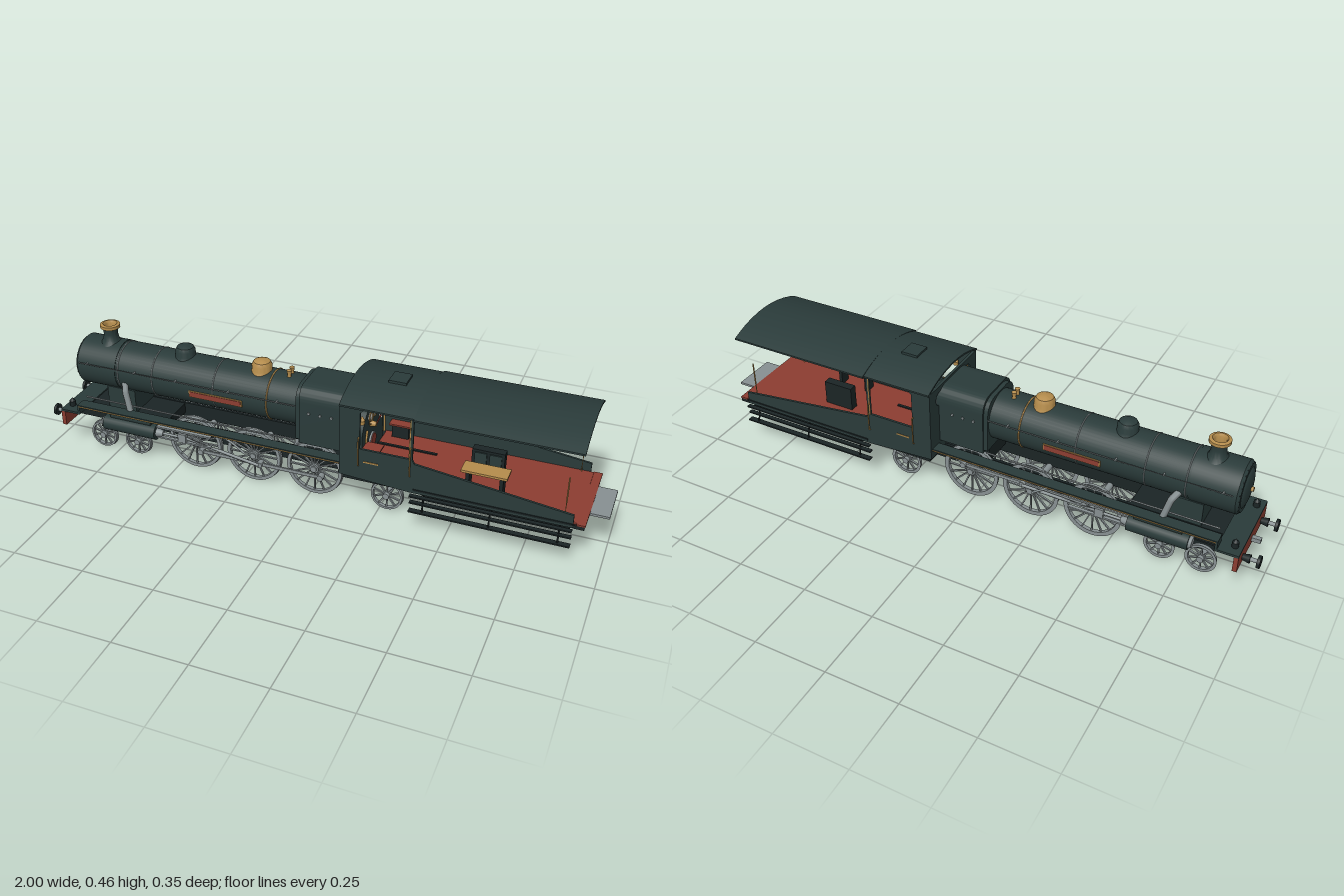
import * as THREE from 'three';
import { mergeGeometries, toCreasedNormals } from 'three/addons/utils/BufferGeometryUtils.js';

const mat = (name, color) => {
  const m = new THREE.MeshStandardMaterial({ color, side: THREE.DoubleSide });
  m.name = name;
  return m;
};

export function createModel() {
  const green = mat('darkGreen', 0x2a3b3a), black = mat('black', 0x1b2425), steel = mat('steel', 0x879092);
  const gold = mat('brass', 0xb48c4c), red = mat('red', 0x8c3d31), white = mat('white', 0xe4e4dc);
  const root = new THREE.Group();
  root.name = 'locomotive';

  // ---- helpers ----
  const add = (name, geo, m) => {
    const mesh = new THREE.Mesh(geo, m);
    mesh.name = name;
    root.add(mesh);
    return mesh;
  };
  const boxGeo = (x0, x1, y0, y1, z0, z1) =>
    new THREE.BoxGeometry(x1 - x0, y1 - y0, Math.abs(z1 - z0)).translate((x0 + x1) / 2, (y0 + y1) / 2, (z0 + z1) / 2);
  const box = (name, m, ...b) => add(name, boxGeo(...b), m);
  const cylX = (r0, r1, x0, x1, y, z, n = 24) =>
    new THREE.CylinderGeometry(r1, r0, x1 - x0, n).rotateZ(-Math.PI / 2).translate((x0 + x1) / 2, y, z);
  const cylZ = (r, x, y, z0, z1, n = 20) =>
    new THREE.CylinderGeometry(r, r, Math.abs(z1 - z0), n).rotateX(Math.PI / 2).translate(x, y, (z0 + z1) / 2);
  const tube = (name, m, r, pts, seg = 12) => add(name, new THREE.TubeGeometry(
    new THREE.CatmullRomCurve3(pts.map(p => new THREE.Vector3(...p)), false, 'catmullrom', 0.1), seg, r, 6), m);
  const lathe = (name, m, x, z, pts) => add(name, toCreasedNormals(new THREE.LatheGeometry(
    pts.map(p => new THREE.Vector2(...p)), 28).translate(x, 0, z), 0.6), m);
  const poly = pts => new THREE.Shape(pts.map(p => new THREE.Vector2(...p)));
  // extrude a (z, y) outline along x
  const extrudeX = (shape, x0, x1) => toCreasedNormals(new THREE.ExtrudeGeometry(shape,
    { depth: x1 - x0, bevelEnabled: false, curveSegments: 20 }).rotateY(Math.PI / 2).translate(x0, 0, 0), 0.6);
  const ringX = (name, m, R, r, x, y, z) =>
    add(name, new THREE.TorusGeometry(R, r, 6, 36).rotateY(Math.PI / 2).translate(x, y, z), m);
  const both = fn => [1, -1].forEach(fn);

  // ---- boiler and smokebox ----
  const by = 0.31, br = 0.087;
  add('boiler', cylX(br, br, -0.74, 0.0, by, 0, 48), green);
  add('smokebox', cylX(br + 0.002, br + 0.002, -0.89, -0.74, by, 0, 48), green);
  add('smokeboxRim', cylX(0.08, br + 0.002, -0.9, -0.89, by, 0, 48), green);
  add('smokeboxDoor', new THREE.SphereGeometry(0.068, 32, 10, 0, Math.PI * 2, 0, Math.PI / 2)
    .scale(1, 0.2, 1).rotateZ(Math.PI / 2).translate(-0.898, by, 0), green);
  add('doorHandle', cylX(0.008, 0.008, -0.92, -0.905, by, 0, 10), gold);
  const rivets = [];
  for (let i = 0; i < 24; i++) {
    const a = i / 24 * Math.PI * 2;
    rivets.push(new THREE.SphereGeometry(0.0035, 6, 4).translate(-0.897, by + Math.sin(a) * 0.08, Math.cos(a) * 0.08));
  }
  add('smokeboxRivets', mergeGeometries(rivets), black);
  [-0.73, -0.595, -0.36].forEach(x => ringX('boilerBand', steel, br, 0.0022, x, by, 0));
  ringX('brassBand', gold, br, 0.003, -0.16, by, 0);
  lathe('chimney', green, -0.795, 0, [[0.042, 0.388], [0.029, 0.402], [0.024, 0.425], [0.027, 0.445], [0.034, 0.45]]);
  lathe('chimneyCap', gold, -0.795, 0, [[0.03, 0.446], [0.035, 0.449], [0.035, 0.46], [0.025, 0.463], [0.02, 0.455], [0.02, 0.43]]);
  [['darkDome', green, -0.5], ['brassDome', gold, -0.21]].forEach(([n, m, x]) =>
    lathe(n, m, x, 0, [[0.042, 0.383], [0.035, 0.397], [0.035, 0.415], [0.029, 0.427], [0.017, 0.433], [0, 0.435]]));
  both(s => lathe('safetyValve', gold, -0.105, s * 0.012, [[0.009, 0.39], [0.006, 0.4], [0.009, 0.418], [0, 0.423]]));

  // ---- firebox ----
  const arch = (w, y0, yTop, r) => {
    const s = new THREE.Shape();
    s.moveTo(-w, y0).lineTo(w, y0).lineTo(w, yTop - r).quadraticCurveTo(w, yTop, w - r, yTop);
    s.lineTo(r - w, yTop).quadraticCurveTo(-w, yTop, -w, yTop - r).lineTo(-w, y0);
    return s;
  };
  add('firebox', extrudeX(arch(0.1, 0.2, 0.408, 0.055), -0.035, 0.14), green);
  add('fireboxFront', extrudeX(arch(0.094, 0.21, 0.402, 0.06), -0.05, -0.035), green);
  both(s => [0, 0.04, 0.08].forEach(x => add('washoutPlug', cylZ(0.005, x, 0.32, s * 0.098, s * 0.104, 8), steel)));

  // ---- frames, front platform and buffers ----
  both(s => box('mainFrame', black, -0.92, 0.4, 0.105, 0.16, s * 0.058, s * 0.068));
  box('frameStretcher', black, -0.9, -0.55, 0.12, 0.158, -0.06, 0.06);
  box('smokeboxSaddle', green, -0.79, -0.68, 0.15, 0.245, -0.065, 0.065);
  box('ashpan', black, -0.04, 0.13, 0.14, 0.21, -0.06, 0.06);
  box('bogieFrame', black, -0.84, -0.64, 0.06, 0.09, -0.055, 0.055);
  box('frontPlatform', green, -0.94, -0.865, 0.155, 0.163, -0.15, 0.15);
  box('frontBeam', red, -0.94, -0.925, 0.1, 0.155, -0.15, 0.15);
  box('couplingHook', steel, -0.97, -0.94, 0.115, 0.13, -0.008, 0.008);
  both(s => {
    add('bufferShank', cylX(0.015, 0.01, -0.965, -0.94, 0.122, s * 0.097), black);
    add('bufferRod', cylX(0.007, 0.007, -0.99, -0.96, 0.122, s * 0.097, 12), steel);
    add('bufferHead', cylX(0.021, 0.021, -0.998, -0.988, 0.122, s * 0.097), black);
    lathe('frontLamp', black, -0.915, s * 0.11, [[0.011, 0.163], [0.011, 0.182], [0.005, 0.188], [0, 0.195]]);

    // running boards, handrails, nameplates
    box('runningBoard', green, -0.865, 0.13, 0.184, 0.193, s * 0.108, s * 0.15);
    box('runningBoardTrim', gold, -0.865, 0.13, 0.186, 0.189, s * 0.15, s * 0.1515);
    box('boardRiser', green, -0.87, -0.862, 0.158, 0.193, s * 0.108, s * 0.15);
    tube('boilerPipe', steel, 0.003, [[-0.86, 0.205, s * 0.1], [-0.3, 0.205, s * 0.1], [-0.05, 0.21, s * 0.102]]);
    tube('handrail', steel, 0.002, [[-0.88, 0.335, s * 0.094], [-0.05, 0.335, s * 0.094]], 2);
    [-0.85, -0.66, -0.5, -0.3, -0.12].forEach(x => add('railPost', cylZ(0.003, x, 0.335, s * 0.082, s * 0.096, 6), steel));
    box('nameplateBorder', gold, -0.449, -0.249, 0.285, 0.309, s * 0.083, s * 0.09);
    box('nameplate', red, -0.445, -0.253, 0.288, 0.306, s * 0.084, s * 0.092);

    // cylinders and outside steam pipes
    add('cylinder', cylX(0.028, 0.028, -0.775, -0.57, 0.13, s * 0.117), green);
    add('cylinderCover', cylX(0.018, 0.022, -0.785, -0.775, 0.13, s * 0.117), steel);
    add('valveChest', cylX(0.017, 0.017, -0.75, -0.59, 0.165, s * 0.112), green);
    add('glandCover', cylX(0.016, 0.01, -0.57, -0.545, 0.13, s * 0.117), steel);
    tube('steamPipe', steel, 0.012, [[-0.71, 0.275, s * 0.075], [-0.695, 0.255, s * 0.1], [-0.675, 0.18, s * 0.11]]);
  });

  // ---- wheels ----
  const wheelGeo = (R, n) => {
    const t = R * 0.1 + 0.002, w = 0.007;
    const parts = [
      new THREE.LatheGeometry([[R - t, -w], [R, -w], [R, w * 0.6], [R + 0.003, w], [R - t, w], [R - t, -w]]
        .map(p => new THREE.Vector2(...p)), 40).rotateX(-Math.PI / 2),
      new THREE.CylinderGeometry(R * 0.17, R * 0.17, 0.022, 16).rotateX(Math.PI / 2)];
    for (let i = 0; i < n; i++)
      parts.push(new THREE.BoxGeometry(0.0045, R - t, 0.007).translate(0, (R - t) / 2, 0).rotateZ(i / n * Math.PI * 2));
    return toCreasedNormals(mergeGeometries(parts), 0.6);
  };
  const small = wheelGeo(0.05, 10), large = wheelGeo(0.1, 16), drive = [-0.435, -0.21, 0.015];
  const axleSet = (name, geo, x, y) => {
    both(s => add(name, geo, steel).position.set(x, y, s * 0.084));
    add(name + 'Axle', cylZ(0.011, x, y, -0.1, 0.1), steel);
  };
  [-0.81, -0.67].forEach(x => axleSet('bogieWheel', small, x, 0.053));
  drive.forEach(x => axleSet('drivingWheel', large, x, 0.103));
  axleSet('trailingWheel', wheelGeo(0.055, 10), 0.275, 0.058);
  const shape = new THREE.Shape().absarc(0, 0, 0.094, -0.5, 0.5, false);
  const weight = new THREE.ExtrudeGeometry(shape, { depth: 0.01, bevelEnabled: false }).rotateZ(Math.PI / 2);

  // rods and valve gear, quartered between the sides
  both(s => {
    const a = s > 0 ? -0.7 : 0.9, cx = Math.cos(a) * 0.036, cy = 0.103 + Math.sin(a) * 0.036;
    drive.forEach(x => {
      add('balanceWeight', weight, steel).position.set(x, 0.103, s * 0.084 - 0.005);
      add('crankPin', cylZ(0.011, x + cx, cy, s * 0.088, s * 0.112, 12), steel);
    });
    box('couplingRod', steel, drive[0] + cx, drive[2] + cx, cy - 0.006, cy + 0.006, s * 0.098, s * 0.104);
    tube('connectingRod', steel, 0.006, [[-0.47, 0.13, s * 0.115], [drive[1] + cx, cy, s * 0.112]], 2);
    box('crosshead', steel, -0.485, -0.455, 0.116, 0.146, s * 0.105, s * 0.125);
    add('pistonRod', cylX(0.005, 0.005, -0.56, -0.46, 0.13, s * 0.117, 8), steel);
    [0.11, 0.15].forEach(y => box('slideBar', steel, -0.57, -0.36, y, y + 0.006, s * 0.11, s * 0.122));
    tube('radiusRod', steel, 0.004, [[-0.58, 0.165, s * 0.114], [-0.3, 0.165, s * 0.118], [-0.23, 0.12, s * 0.118]]);
  });

  // ---- cab: front wall with round windows, and side walls ----
  const wall = poly([[-0.16, 0.155], [0.16, 0.155], [0.16, 0.415], [-0.16, 0.415]]);
  both(s => wall.holes.push(new THREE.Path().absarc(s * 0.092, 0.367, 0.026, 0, Math.PI * 2, true)));
  add('cabFront', extrudeX(wall, 0.13, 0.14), green);
  const side = poly([[0.13, 0.155], [0.37, 0.14], [0.9, 0.14], [0.9, 0.187], [0.385, 0.25], [0.378, 0.262], [0.378, 0.42], [0.13, 0.42]]);
  side.holes.push(poly([[0.2, 0.265], [0.2, 0.398], [0.212, 0.41], [0.366, 0.41], [0.366, 0.265]]));
  const sideGeo = new THREE.ExtrudeGeometry(side, { depth: 0.008, bevelEnabled: false });
  const sill = new THREE.ExtrudeGeometry(poly([[0.36, 0.145], [0.46, 0.112], [0.89, 0.112], [0.89, 0.145]]), { depth: 0.008, bevelEnabled: false });
  both(s => {
    add('sideWall', sideGeo, green).position.z = s * 0.156 - 0.004;
    add('tenderSill', sill, black).position.z = s * 0.142 - 0.004;
    ringX('windowRim', gold, 0.027, 0.003, 0.142, 0.367, s * 0.092);
    [0.197, 0.372].forEach(x => tube('cabHandrail', gold, 0.0025,
      [[x, 0.2, s * 0.158], [x, 0.203, s * 0.166], [x, 0.305, s * 0.166], [x, 0.308, s * 0.158]]));
    box('openingTrim', gold, 0.366, 0.37, 0.265, 0.41, s * 0.16, s * 0.1615);
    box('sidePlate', gold, 0.215, 0.265, 0.217, 0.222, s * 0.16, s * 0.162);
    box('wallTrim', black, 0.385, 0.9, 0.15, 0.156, s * 0.16, s * 0.163);
    // long footboards with hangers
    [[0.13, 0.158, 0.174], [0.102, 0.152, 0.168], [0.073, 0.156, 0.176]].forEach(([y, z0, z1]) =>
      box('footboard', black, 0.375, 0.9, y, y + 0.005, s * z0, s * z1));
    [0.42, 0.64, 0.86].forEach(x => tube('footboardHanger', black, 0.003, [[x, 0.138, s * 0.15], [x, 0.075, s * 0.167]], 2));
    tube('rearPost', gold, 0.0025, [[0.87, 0.15, s * 0.145], [0.87, 0.31, s * 0.145]], 2);
  });

  // ---- roof ----
  const roofShape = w => {
    const f = [-1, -0.84, -0.65, -0.45, -0.22, 0, 0.22, 0.45, 0.65, 0.84, 1];
    const top = f.map(t => [t * w, 0.456 - 0.037 * t * t]);
    return poly([...top, ...top.map(([z, y]) => [z, y - 0.006]).reverse()]);
  };
  add('cabRoof', extrudeX(roofShape(0.166), 0.13, 0.38), green);
  add('rearRoof', extrudeX(roofShape(0.173), 0.38, 0.91), green);
  box('roofHatch', green, 0.25, 0.31, 0.452, 0.463, -0.033, 0.033);

  // ---- floor and rear end ----
  box('floorFrame', black, 0.14, 0.91, 0.138, 0.151, -0.152, 0.152);
  box('floor', red, 0.19, 0.91, 0.151, 0.156, -0.152, 0.152);
  box('rearBeam', black, 0.9, 0.935, 0.138, 0.15, -0.158, 0.158);
  box('rearStep', red, 0.91, 0.938, 0.15, 0.155, -0.158, 0.158);
  box('fallPlate', steel, 0.935, 1.0, 0.145, 0.153, -0.08, 0.08);
  box('drawBox', black, 0.42, 0.88, 0.11, 0.138, -0.03, 0.03);
  box('drawHook', steel, 0.9, 0.96, 0.112, 0.124, -0.008, 0.008);

  // ---- backhead and controls ----
  const back = new THREE.Shape();
  back.moveTo(-0.108, 0.155).lineTo(0.108, 0.155).lineTo(0.108, 0.27).absarc(0, 0.252, 0.108, 0.17, Math.PI - 0.17, false).lineTo(-0.108, 0.155);
  add('backhead', extrudeX(back, 0.14, 0.19), green);
  add('fireDoor', cylX(0.029, 0.029, 0.19, 0.196, 0.213, 0.01), steel);
  add('fireDoorInner', cylX(0.024, 0.024, 0.196, 0.199, 0.213, 0.01), red);
  [0.05, 0.011].forEach(z => {
    add('gaugeFace', cylX(0.015, 0.015, 0.195, 0.2, 0.325, z), white);
    ringX('gaugeRim', gold, 0.016, 0.0025, 0.2, 0.325, z);
    tube('gaugePipe', gold, 0.002, [[0.195, 0.308, z], [0.195, 0.295, z * 0.8 + 0.01], [0.195, 0.285, 0.03]]);
  });
  add('regulatorBoss', cylX(0.011, 0.008, 0.19, 0.21, 0.283, 0.022), gold);
  tube('regulatorHandle', red, 0.003, [[0.21, 0.285, 0.02], [0.212, 0.306, -0.04]], 2);
  box('waterGlass', white, 0.19, 0.2, 0.258, 0.312, -0.072, -0.064);
  both(s => tube('controlPipe', gold, 0.004, [[0.195, 0.28, s * 0.07], [0.2, 0.265, s * 0.092], [0.2, 0.19, s * 0.095]]));
  lathe('cabLamp', gold, 0.2, 0.14, [[0, 0.345], [0.009, 0.348], [0.01, 0.362], [0.005, 0.37], [0, 0.378]]);
  box('reverserStand', black, 0.21, 0.25, 0.156, 0.245, 0.1, 0.12);
  box('reverserTop', red, 0.2, 0.26, 0.245, 0.251, 0.085, 0.135);
  box('sideSeat', red, 0.21, 0.29, 0.202, 0.208, -0.15, -0.115);
  box('sideSeatBase', black, 0.22, 0.28, 0.156, 0.202, -0.15, -0.12);

  // ---- rear furnishings ----
  box('bench', gold, 0.53, 0.68, 0.242, 0.25, 0.075, 0.135);
  [0.545, 0.655].forEach(x => box('benchLeg', black, x, x + 0.012, 0.156, 0.242, 0.085, 0.125));
  box('cabinet', black, 0.53, 0.64, 0.156, 0.244, -0.04, -0.01);
  [0.54, 0.59].forEach(x => box('cabinetDoor', green, x, x + 0.04, 0.17, 0.235, -0.01, -0.006));
  return root;
}
